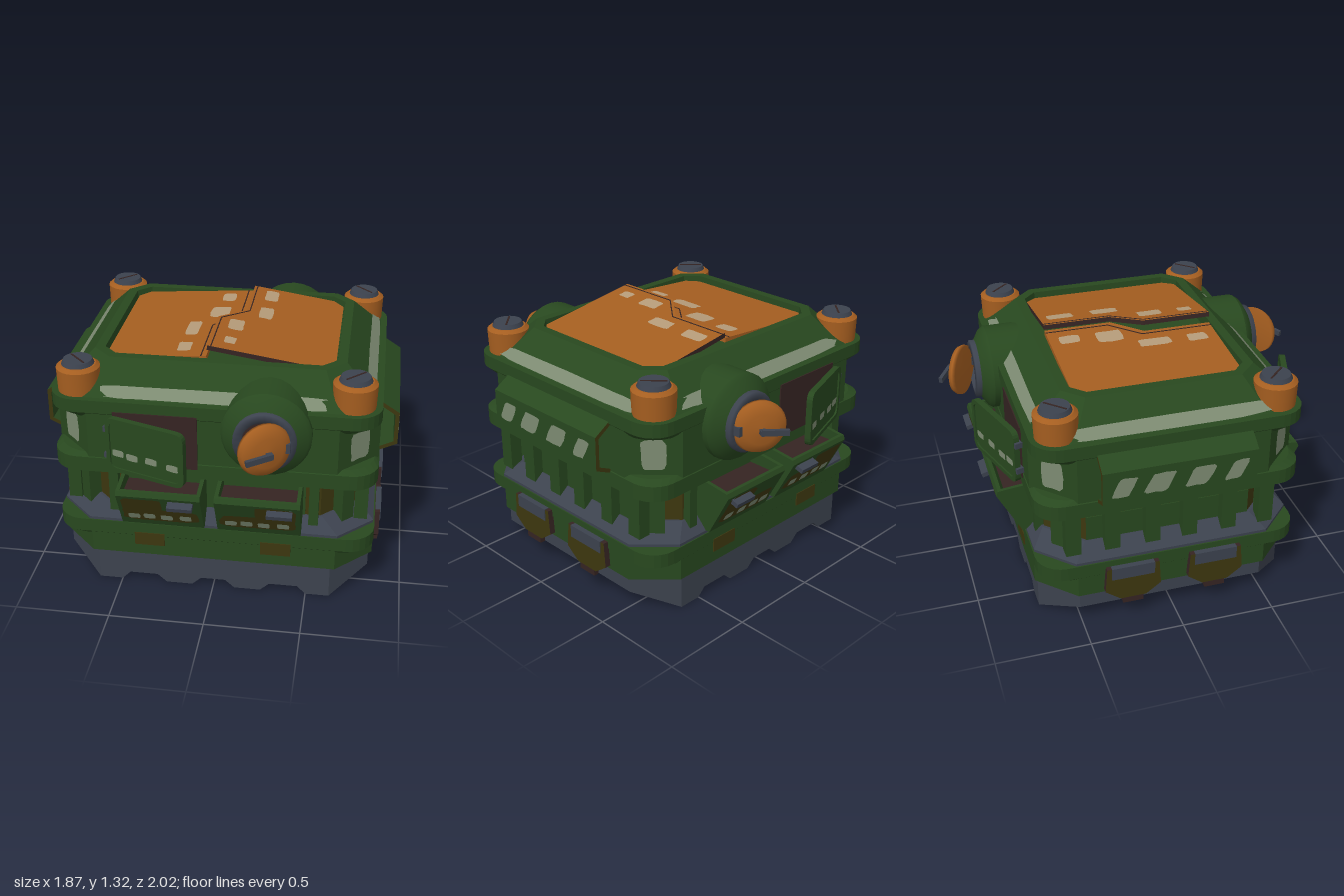
import * as THREE from 'three';

const mat = (name, color, side = THREE.FrontSide) => {
  const m = new THREE.MeshStandardMaterial({ color, side });
  m.name = name;
  return m;
};

export function createModel() {
  const green = mat('green paint', 0x28481f), olive = mat('olive camouflage', 0x3d370f, THREE.DoubleSide);
  const grey = mat('grey steel', 0x3c424e), orange = mat('orange paint', 0xa55e20);
  const worn = mat('worn green paint', 0x7d8b72, THREE.DoubleSide), wornOrange = mat('worn orange paint', 0xb59b79, THREE.DoubleSide);
  const brown = mat('dark brown interior', 0x352422);

  let seed = 7;
  const rnd = () => (seed = (seed * 16807) % 2147483647) / 2147483647;

  const add = (parent, name, geo, material, pos = [0, 0, 0], rot = [0, 0, 0]) => {
    const m = new THREE.Mesh(geo, material);
    m.name = name;
    m.position.set(...pos);
    m.rotation.set(...rot);
    parent.add(m);
  };
  const group = (parent, name, pos = [0, 0, 0], rot = [0, 0, 0]) => {
    const g = new THREE.Group();
    g.name = name;
    g.position.set(...pos);
    g.rotation.set(...rot);
    parent.add(g);
    return g;
  };
  const box = (x, y, z) => new THREE.BoxGeometry(x, y, z);
  const shapeOf = pts => new THREE.Shape(pts.map(p => new THREE.Vector2(...p)));
  const slab = (shape, depth) => new THREE.ExtrudeGeometry(shape, { depth, bevelEnabled: false, curveSegments: 5 });

  // Flat-shaded skin over a row of closed cross-sections, capped at both ends
  const skin = rings => {
    const v = [], n = rings[0].length, last = rings[rings.length - 1];
    for (let i = 0; i < rings.length - 1; i++)
      for (let j = 0; j < n; j++) {
        const a = rings[i][j], b = rings[i][(j + 1) % n], c = rings[i + 1][(j + 1) % n], d = rings[i + 1][j];
        v.push(...a, ...b, ...c, ...a, ...c, ...d);
      }
    for (let j = 1; j < n - 1; j++) {
      v.push(...rings[0][0], ...rings[0][j + 1], ...rings[0][j]);
      v.push(...last[0], ...last[j], ...last[j + 1]);
    }
    const g = new THREE.BufferGeometry();
    g.setAttribute('position', new THREE.Float32BufferAttribute(v, 3));
    g.computeVertexNormals();
    return g;
  };
  // Rectangle with cut (n = 1) or rounded corners, at height y
  const ring = ([y, hx, hz, c], n) => {
    const pts = [];
    for (let q = 0; q < 4; q++)
      for (let k = 0; k <= n; k++) {
        const a = (q + k / n) * Math.PI / 2;
        const sx = q < 2 ? 1 : -1, sz = q === 0 || q === 3 ? 1 : -1;
        pts.push([sx * (hx - c) + c * Math.sin(a), y, sz * (hz - c) + c * Math.cos(a)]);
      }
    return pts;
  };
  const layers = (list, n = 1) => skin(list.map(l => ring(l, n)));

  // Irregular paint patch, facing +z
  const patch = (parent, w, h, pos, rot, material = worn, skew = 0) => {
    const pts = [];
    for (let i = 0; i < 20; i++) {
      const a = i / 20 * Math.PI * 2, f = t => Math.sign(t) * Math.abs(t) ** 0.33 * (0.88 + 0.12 * rnd());
      const y = f(Math.sin(a)) * h / 2;
      pts.push([f(Math.cos(a)) * w / 2 + skew * y, y]);
    }
    add(parent, material === olive ? 'camouflagePatch' : 'wornPatch', new THREE.ShapeGeometry(shapeOf(pts)), material, pos, rot);
  };

  const model = new THREE.Group();
  model.name = 'armouredCrate';
  const body = group(model, 'body', [0, 0, -0.01]);

  // Ridged base
  const half = [[0.065, 0.045], [0.115, 0], [0.255, 0], [0.305, 0.045], [0.455, 0.045], [0.5, 0], [0.625, 0], [0.82, 0.1]];
  const profile = [...half.map(([x, y]) => [-x, y]).reverse(), ...half];
  add(body, 'base', skin(profile.map(([x, y]) => {
    const h = Math.abs(x) > 0.7 ? 0.5 : 0.682;
    return [[x, y, -h], [x, 0.2, -h], [x, 0.2, h], [x, y, h]];
  })), grey);
  for (const x of [-0.38, 0, 0.38]) add(body, 'baseGroove', box(0.13, 0.006, 1.34), brown, [x, 0.044, 0]);

  // Stacked hull layers
  add(body, 'lowerBand', layers([[0.19, 0.838, 0.7, 0.19], [0.38, 0.838, 0.7, 0.19]]), green);
  add(body, 'lowerFlange', layers([[0.27, 0.80, 0.665, 0.18], [0.31, 0.842, 0.703, 0.14], [0.385, 0.842, 0.703, 0.14]], 6), green);
  add(body, 'steelCollar', layers([[0.38, 0.835, 0.697, 0.18], [0.4, 0.835, 0.697, 0.18], [0.47, 0.75, 0.63, 0.18]]), grey);
  add(body, 'waist', layers([[0.4, 0.74, 0.62, 0.18], [0.7, 0.74, 0.62, 0.18]]), olive);
  add(body, 'upperBody', layers([[0.69, 0.838, 0.7, 0.2], [1.1, 0.838, 0.7, 0.2]]), green);
  add(body, 'upperBodyLowerFlange', layers([[0.688, 0.842, 0.704, 0.14], [0.77, 0.842, 0.704, 0.14], [0.79, 0.82, 0.68, 0.17]], 6), green);
  add(body, 'upperBodyTopFlange', layers([[0.99, 0.81, 0.67, 0.18], [1.03, 0.842, 0.704, 0.14], [1.1, 0.842, 0.704, 0.14]], 6), green);
  add(body, 'roof', layers([[1.1, 0.805, 0.67, 0.15], [1.155, 0.75, 0.615, 0.15], [1.255, 0.65, 0.505, 0.1],
    [1.255, 0.6, 0.455, 0.07], [1.19, 0.595, 0.45, 0.07]]), green);

  // Corner knobs, ribs and recess patches
  for (const sx of [-1, 1]) for (const sz of [-1, 1]) {
    const knob = group(body, 'cornerKnob', [sx * 0.7, 1.1, sz * 0.567]);
    add(knob, 'knobBody', new THREE.CylinderGeometry(0.112, 0.108, 0.125, 24), orange, [0, 0.0625, 0]);
    add(knob, 'knobBevel', new THREE.CylinderGeometry(0.092, 0.112, 0.016, 24), orange, [0, 0.133, 0]);
    add(knob, 'screwCap', new THREE.CylinderGeometry(0.074, 0.086, 0.028, 24), grey, [0, 0.15, 0]);
    add(knob, 'screwSlot', box(0.13, 0.004, 0.01), brown, [0, 0.164, 0], [0, sx * sz > 0 ? 0.8 : -0.8, 0]);
    const a = Math.atan2(sx, sz);
    add(body, 'cornerRib', box(0.08, 0.26, 0.07), green, [sx * 0.675, 0.56, sz * 0.555], [0, a, 0]);
    patch(body, 0.13, 0.17, [sx * 0.741, 0.9, sz * 0.603], [0, a, 0]);
    add(body, 'frontRib', box(0.05, 0.26, 0.06), green, [sx * 0.525, 0.56, sz * 0.635]);
  }

  // Two tilted hatch leaves with a stepped, overlapping seam; marks are x, z, width, length
  const leaves = [[1, 1.198, -0.15, [orange, brown], [[0.068, 0.443], [0.53, 0.443], [0.588, 0.385], [0.588, -0.385], [0.53, -0.443],
    [-0.068, -0.443], [-0.068, -0.07], [0.068, 0.085]],
  [[0.18, -0.33, 0.08, 0.15], [0.175, -0.085, 0.08, 0.16], [0.04, 0.135, 0.085, 0.14], [0.035, 0.335, 0.065, 0.08]]],
  [-1, 1.2, 0.07, orange, [[0.075, 0.443], [0.075, 0.08], [-0.06, -0.075], [-0.06, -0.443], [-0.53, -0.443],
    [-0.588, -0.385], [-0.588, 0.385], [-0.53, 0.443]],
  [[-0.05, -0.335, 0.08, 0.115], [-0.07, -0.12, 0.115, 0.15], [-0.185, 0.095, 0.075, 0.185], [-0.19, 0.33, 0.075, 0.115]]]];
  for (const [s, y, tilt, paint, pts, marks] of leaves) {
    const leaf = group(body, 'hatchLeaf', [s * 0.588, y, 0], [0, 0, tilt]);
    add(leaf, 'hatchPlate', slab(shapeOf(pts.map(([x, z]) => [x - s * 0.588, z])), 0.025).rotateX(-Math.PI / 2), paint);
    for (const [x, z, w, l] of marks) patch(leaf, w, l, [x - s * 0.588, 0.028, z], [-Math.PI / 2, 0, 0], wornOrange);
    // Dark line along the seam
    const seam = s > 0 ? [[0.085, -0.443], [0.085, -0.08], [-0.05, 0.075], [-0.05, 0.443]] : [[0.047, -0.443], [0.047, -0.1], [-0.088, 0.055], [-0.088, 0.443]];
    for (let i = 0; i < 3; i++) {
      const [[x0, z0], [x1, z1]] = [seam[i], seam[i + 1]];
      add(leaf, 'seamLine', box(0.006, 0.004, Math.hypot(x1 - x0, z1 - z0)), brown,
        [(x0 + x1) / 2 - s * 0.588, 0.025, (z0 + z1) / 2], [0, Math.atan2(x1 - x0, z1 - z0), 0]);
    }
  }

  // Left and right sides
  for (const s of [0, 1]) {
    const side = group(body, s ? 'rightSide' : 'leftSide', [0, 0, 0], [0, s * Math.PI, 0]);
    const shield = [[0.835, 1.045], [0.93, 0.985], [0.93, 0.805], [0.835, 0.76], [0.835, 0.782], [0.909, 0.818], [0.909, 0.972], [0.835, 1.021]];
    add(side, 'sideShield', slab(shapeOf(shield.reverse()), 0.8).translate(0, 0, -0.4), [olive, green]);
    for (const [z, w] of [[0.29, 0.1], [0.11, 0.13], [-0.1, 0.13], [-0.29, 0.09]])
      patch(side, w, 0.115, [0.933, 0.89, z], [0, Math.PI / 2, 0], worn, 0.5);
    for (const z of [-0.52, -0.315, -0.1, 0.1, 0.315, 0.52])
      add(side, 'sideRib', box(0.07, 0.27, 0.08), green, [0.766, 0.565, z]);
    add(side, 'waistPanel', box(0.006, 0.17, 0.88), green, [0.742, 0.525, 0]);
    patch(side, 1.1, 0.075, [0.78, 1.13, 0], [-Math.PI / 2, Math.PI / 4, Math.PI / 2]);
    // Latches hanging over the lower band
    for (const z of [-0.225, 0.225]) {
      const latch = group(side, 'sideLatch', [0.835, 0, z], [0, Math.PI / 2, 0]);
      add(latch, 'latchPlate', slab(shapeOf([[-0.14, 0.35], [-0.15, 0.21], [-0.07, 0.15], [0.07, 0.15], [0.15, 0.21], [0.14, 0.35]]), 0.035), [olive, brown]);
      add(latch, 'latchFoot', box(0.11, 0.06, 0.03), brown, [0, 0.145, 0.018]);
      add(latch, 'latchPad', box(0.23, 0.07, 0.03), grey, [0, 0.318, 0.025]);
    }
  }

  // Front equipment, mirrored to the back
  for (const s of [1, -1]) {
    const face = group(body, s > 0 ? 'frontFace' : 'backFace');
    face.scale.z = s;
    patch(face, 1.24, 0.075, [0, 1.13, 0.645], [-Math.PI / 4, 0, 0]);
    for (const x of [-0.335, 0.335]) add(face, 'lowerSlot', box(0.16, 0.075, 0.008), olive, [x, 0.29, 0.703]);
    add(face, 'waistFrontPanel', box(0.96, 0.27, 0.008), green, [0, 0.56, 0.621]);

    // Doorway and swung door
    add(face, 'doorway', box(0.43, 0.3, 0.008), brown, [-0.285, 0.895, 0.706]);
    const door = group(face, 'door', [-0.525, 0.885, 0.72], [0, -0.32, 0]);
    const plate = (w, h, c) => {
      const p = new THREE.Shape();
      p.moveTo(-w + c, -h).lineTo(w - c, -h).quadraticCurveTo(w, -h, w, -h + c).lineTo(w, h - c).quadraticCurveTo(w, h, w - c, h);
      p.lineTo(-w + c, h).quadraticCurveTo(-w, h, -w, h - c).lineTo(-w, -h + c).quadraticCurveTo(-w, -h, -w + c, -h);
      return p;
    };
    const rim = plate(0.222, 0.152, 0.05);
    rim.holes.push(plate(0.2, 0.13, 0.04));
    add(door, 'doorPanel', slab(plate(0.215, 0.145, 0.05), 0.018), green, [0.225, 0, 0]);
    add(door, 'doorRim', slab(rim, 0.032), green, [0.225, 0, -0.005]);
    for (const y of [-0.07, 0.08]) add(door, 'doorHinge', box(0.035, 0.03, 0.04), grey, [0.005, y, 0.005]);
    [0.07, 0.15, 0.26, 0.38].forEach((x, i) => patch(door, 0.07, 0.04, [x, -0.045 - 0.006 * (i % 2), 0.021], [0, 0, 0]));

    // Round port sunk into the hull, with a steel ring and a tilted lid
    const port = group(face, 'port', [0.28, 0.99, 0]);
    const turn = pts => new THREE.LatheGeometry(pts.map(p => new THREE.Vector2(...p)), 28).rotateX(Math.PI / 2);
    add(port, 'portHousing', turn([[0.228, 0.48], [0.228, 0.73]]), green);
    add(port, 'portBevel', turn([[0.228, 0.73], [0.212, 0.755], [0.155, 0.79]]), green);
    add(port, 'portRing', turn([[0.158, 0.75], [0.158, 0.815], [0.115, 0.82], [0.112, 0.78]]), grey);
    add(port, 'portInside', new THREE.CircleGeometry(0.14, 24), brown, [0, 0, 0.785]);
    add(port, 'lidHinge', box(0.045, 0.05, 0.06), grey, [0.108, 0, 0.825]);
    const lid = group(port, 'portLid', [0.014, 0, 0.885], [0, 0.54, 0]);
    add(lid, 'lidDisc', turn([[0, -0.03], [0.136, -0.03], [0.139, -0.01], [0.127, 0.012], [0.08, 0.03], [0, 0.036]]), orange);
    add(lid, 'lidHandle', box(0.14, 0.03, 0.02), grey, [-0.06, -0.005, 0.06], [0, 0, 0.08]);
    add(lid, 'lidHandlePost', box(0.03, 0.025, 0.05), grey, [0, -0.002, 0.04]);

    // Two tilted open bins
    for (const x of [-0.255, 0.25]) {
      const bin = group(face, 'bin', [x, 0, 0]);
      const alongX = (pts, w) => slab(shapeOf(pts), w).rotateY(-Math.PI / 2).translate(w / 2, 0, 0);
      const cheek = [[0.6, 0.4], [0.72, 0.4], [0.845, 0.64], [0.835, 0.665], [0.6, 0.69]];
      for (const e of [-1, 1]) add(bin, 'binCheek', alongX(cheek, 0.02), green, [e * 0.207, 0, 0]);
      add(bin, 'binFront', alongX([[0.69, 0.4], [0.72, 0.4], [0.845, 0.64], [0.835, 0.665], [0.815, 0.665]], 0.4), green);
      add(bin, 'binInside', alongX([[0.6, 0.402], [0.7, 0.402], [0.81, 0.615], [0.6, 0.615]], 0.4), brown);
      const front = group(bin, 'binDetails', [0, 0.52, 0.7855], [0.48, 0, 0]);
      patch(front, 0.41, 0.12, [0, -0.03, 0.001], [0, 0, 0], olive);
      patch(front, 0.22, 0.16, [x < 0 ? -0.09 : 0.09, 0.05, 0.002], [0, 0, 0], olive);
      [-0.14, -0.06, 0.03, 0.13].forEach((px, i) => patch(front, 0.065, 0.05, [px, -0.045 + 0.005 * (i % 2), 0.005], [0, 0, 0]));
      add(bin, 'binHandle', box(0.13, 0.025, 0.05), grey, [0.115, 0.605, 0.85], [0.3, 0, 0]);
    }
  }
  return model;
}
